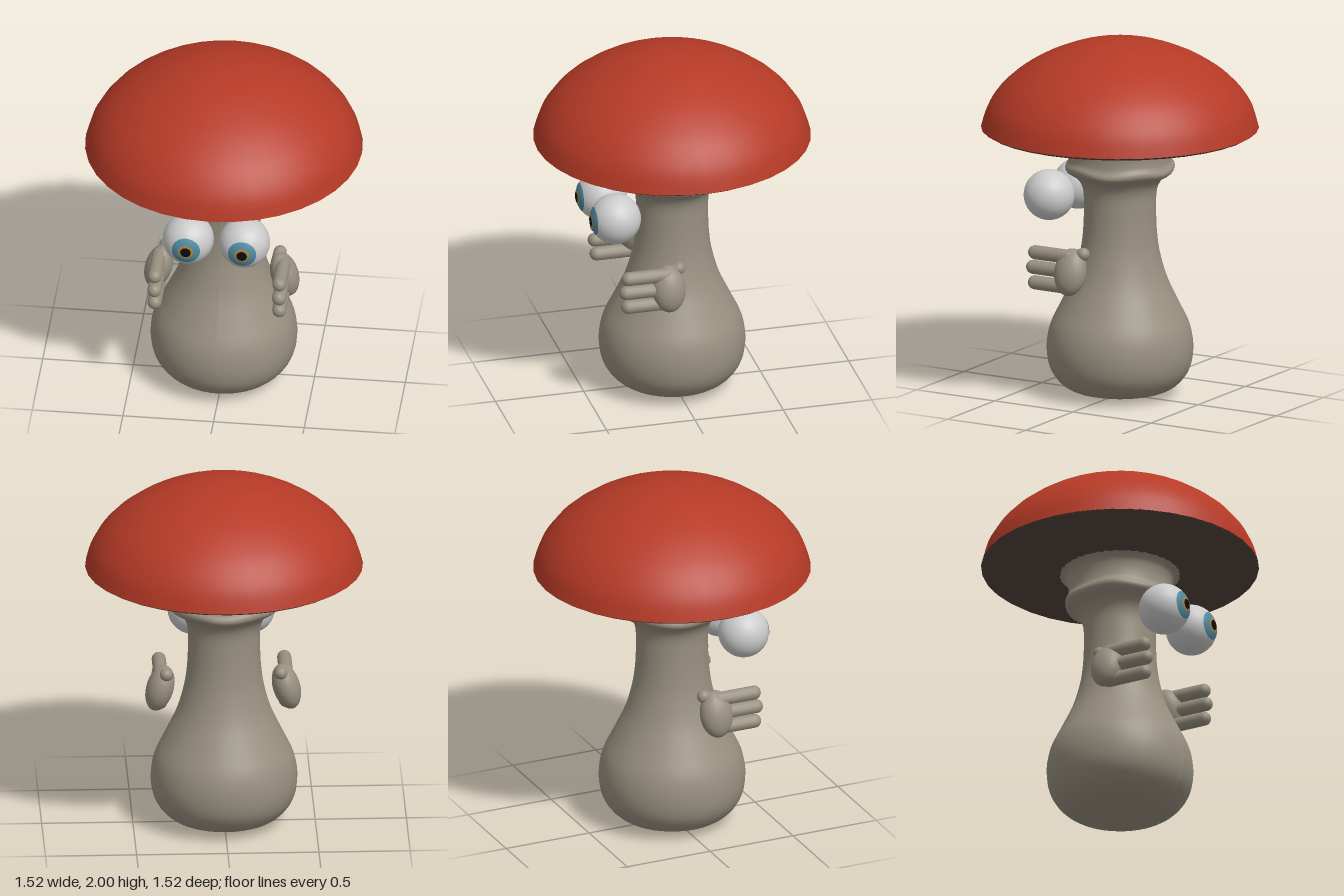
import * as THREE from 'three';

const paint = (color, roughness = 0.8) => {
  const m = new THREE.MeshStandardMaterial({ color });
  m.roughness = roughness;
  return m;
};
const red = paint(0xb63a26), brown = paint(0x54443e), flesh = paint(0x989080);
const white = paint(0xcfcbcb), blue = paint(0x4f8ba3), gold = paint(0xa8873f), black = paint(0x0c0c0c);

function part(name, geometry, material, parent) {
  const mesh = new THREE.Mesh(geometry, material);
  mesh.name = name;
  parent.add(mesh);
  return mesh;
}

// Smooth turned surface through [radius, height] points, listed so that the outside faces out
function turned(points, steps, segments) {
  const curve = new THREE.SplineCurve(points.map(([r, y]) => new THREE.Vector2(r, y)));
  const profile = curve.getPoints(steps);
  profile.forEach((p) => { p.x = Math.max(p.x, 0); });
  return new THREE.LatheGeometry(profile, segments);
}

// Rounded finger between two points
function finger(name, a, b, radius, parent) {
  const dir = b.clone().sub(a);
  const mesh = part(name, new THREE.CapsuleGeometry(radius, dir.length(), 6, 14), flesh, parent);
  mesh.position.copy(a).add(b).multiplyScalar(0.5);
  mesh.quaternion.setFromUnitVectors(new THREE.Vector3(0, 1, 0), dir.normalize());
}

// Eyeball with iris, gold ring and pupil as shells around its front pole
function makeEye(side) {
  const eye = new THREE.Group();
  eye.name = side > 0 ? 'leftEye' : 'rightEye';
  const R = 0.14;
  part('eyeball', new THREE.SphereGeometry(R, 32, 24), white, eye);
  [['iris', 0.077, blue], ['irisRing', 0.041, gold], ['pupil', 0.028, black]].forEach(([name, r, mat], i) => {
    const shell = new THREE.SphereGeometry(R + 0.0015 * (i + 1), 28, 6, 0, Math.PI * 2, 0, Math.asin(r / R));
    part(name, shell.rotateX(Math.PI / 2), mat, eye);
  });
  eye.position.set(side * 0.155, 1.115, 0.36);
  return eye;
}

// Floating hand: oval palm, three forward fingers and a short thumb
function makeHand(side) {
  const hand = new THREE.Group();
  hand.name = side > 0 ? 'leftHand' : 'rightHand';
  const palm = part('palm', new THREE.SphereGeometry(1, 24, 18), flesh, hand);
  palm.scale.set(0.075, 0.132, 0.093);
  palm.position.set(side * 0.347, 0.748, 0.108);
  palm.rotation.z = side * 0.28;
  [[0.832, 0.335], [0.748, 0.348], [0.662, 0.337]].forEach(([y, z], i) => {
    finger('finger' + (i + 1), new THREE.Vector3(side * 0.344, y, 0.12),
      new THREE.Vector3(side * 0.344, y, z), 0.039, hand);
  });
  finger('thumb', new THREE.Vector3(side * 0.315, 0.85, 0.045),
    new THREE.Vector3(side * 0.305, 0.815, 0.12), 0.036, hand);
  return hand;
}

export function createModel() {
  const model = new THREE.Group();
  model.name = 'mushroom';

  // Bulbous stem with a flared collar under the cap
  const stem = turned([
    [0, 0.005], [0.15, 0.015], [0.29, 0.05], [0.375, 0.14], [0.402, 0.26], [0.385, 0.39], [0.325, 0.52],
    [0.26, 0.66], [0.22, 0.8], [0.203, 0.92], [0.198, 1.05], [0.203, 1.16], [0.235, 1.225],
    [0.29, 1.265], [0.3, 1.295], [0.283, 1.33], [0.285, 1.4], [0.31, 1.45], [0.39, 1.487],
  ], 72, 48);
  // Gentle unevenness of the collar
  const pos = stem.attributes.position;
  for (let i = 0; i < pos.count; i++) {
    const x = pos.getX(i), y = pos.getY(i), z = pos.getZ(i);
    const band = Math.max(0, 1 - Math.abs(y - 1.3) / 0.1);
    pos.setY(i, y + 0.008 * band * Math.sin(5 * Math.atan2(z, x)));
  }
  stem.computeVertexNormals();
  part('stem', stem, flesh, model);

  // Underside of the cap
  const gills = [[0.3, 1.45], [0.39, 1.485], [0.55, 1.495], [0.74, 1.497], [0.762, 1.512]];
  part('gills', new THREE.LatheGeometry(gills.map(([r, y]) => new THREE.Vector2(r, y)), 36), brown, model);

  // Domed cap
  part('cap', turned([
    [0.762, 1.51], [0.73, 1.615], [0.67, 1.71], [0.585, 1.795], [0.44, 1.89], [0.25, 1.967], [0.1, 1.995], [0, 2],
  ], 24, 36), red, model);

  for (const side of [1, -1]) model.add(makeEye(side), makeHand(side));
  return model;
}
